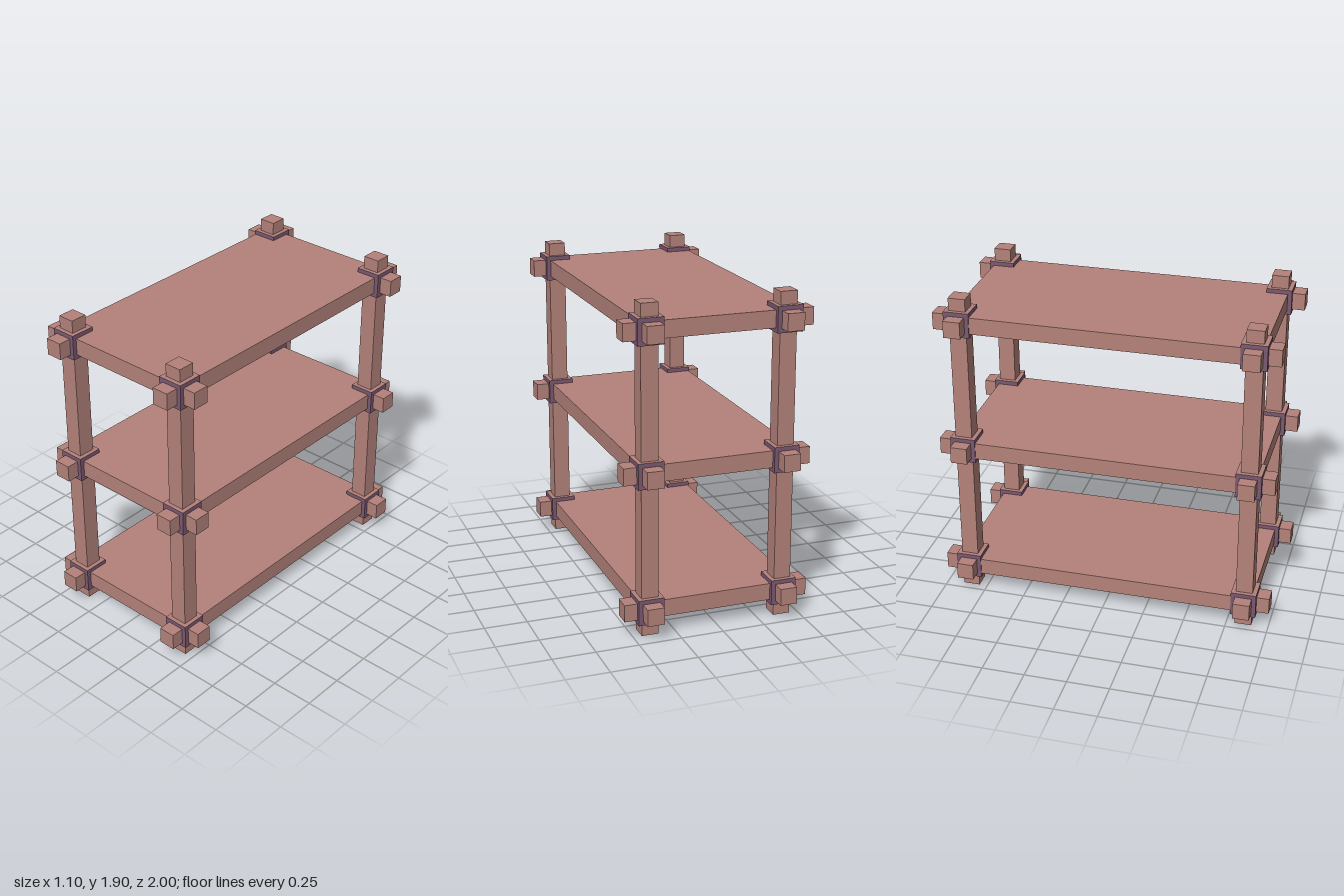
import * as THREE from 'three';

const wood = new THREE.MeshStandardMaterial({ color: 0xb4827a });
wood.name = 'wood';
const purple = new THREE.MeshStandardMaterial({ color: 0x7a5870 });
purple.name = 'purpleJoint';

export function createModel() {
  const model = new THREE.Group();
  model.name = 'shelfRack';

  function box(name, w, h, d, x, y, z, material = wood) {
    const mesh = new THREE.Mesh(new THREE.BoxGeometry(w, h, d), material);
    mesh.name = name;
    mesh.position.set(x, y, z);
    model.add(mesh);
  }

  const beam = 0.1, postX = 0.4, postZ = 0.85;
  const levels = [0.15, 0.95, 1.75];

  // Joint collar: purple sides and underside, wooden top face
  const jointFaces = [purple, purple, wood, purple, purple, purple];

  // Corner posts
  for (const x of [-postX, postX])
    for (const z of [-postZ, postZ]) box('post', beam, 1.9, beam, x, 0.95, z);

  for (const y of levels) {
    // Shelf board, overhanging slightly on the right side
    box('shelf', 0.92, beam, 1.8, -0.01, y, 0);
    // Rails that pass through the posts
    for (const z of [-postZ, postZ]) box('crossRail', 1.1, beam, beam, 0, y, z);
    for (const x of [-postX, postX]) {
      box('sideRail', beam, beam, 2, x, y, 0);
      // Collars where posts and rails meet
      for (const z of [-postZ, postZ]) box('jointCollar', 0.15, 0.15, 0.15, x, y, z, jointFaces);
    }
  }
  return model;
}
